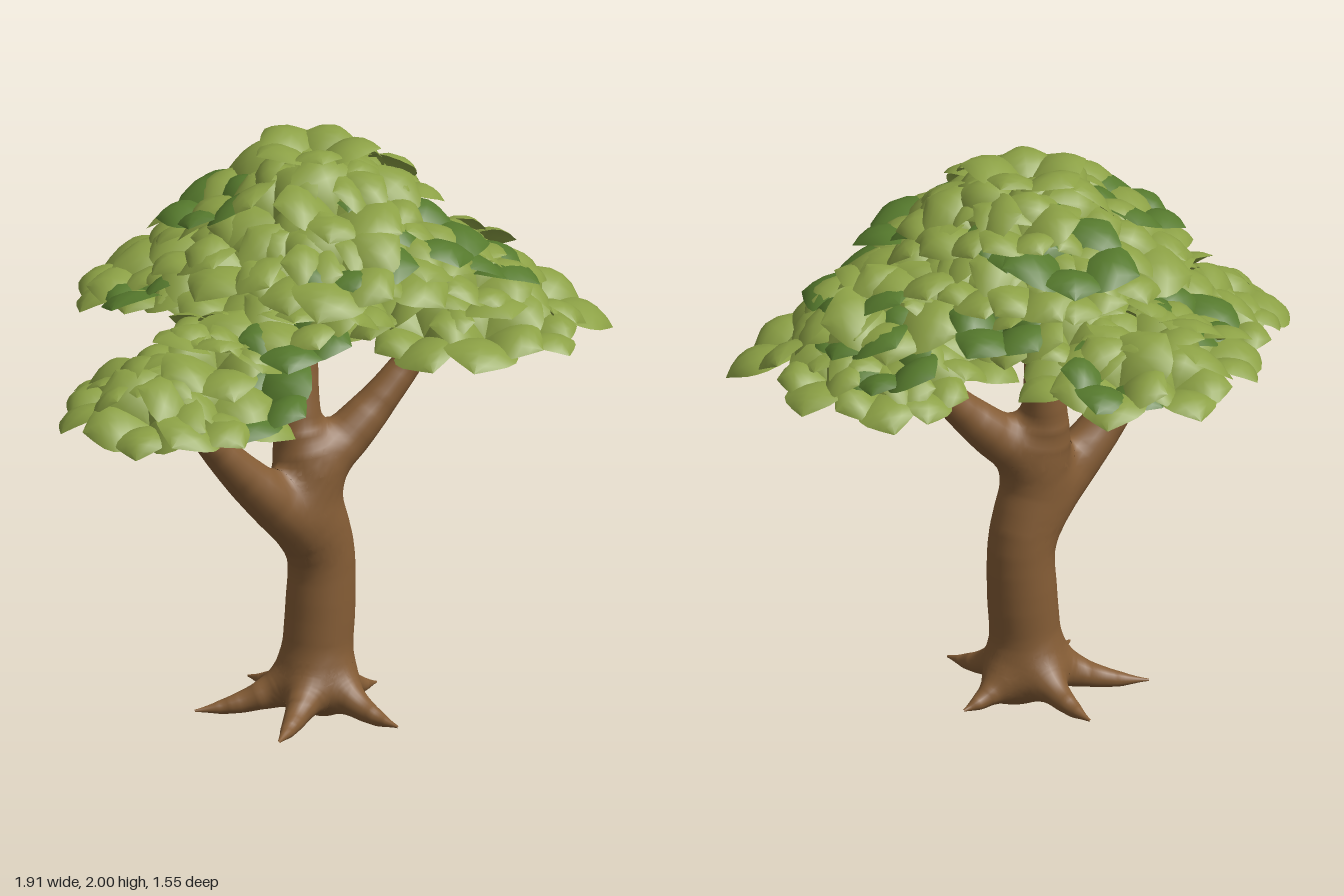
import * as THREE from 'three';
import { mergeGeometries } from 'three/addons/utils/BufferGeometryUtils.js';

// Seeded random numbers
let seed = 7;
function rnd(a = 0, b = 1) {
  seed = (seed * 16807) % 2147483647;
  return a + (b - a) * (seed / 2147483647);
}

// A limb is a smooth curve through points [x, y, z, radius]
function makeLimb(name, points) {
  const path = new THREE.CatmullRomCurve3(points.map(p => new THREE.Vector3(p[0], p[1], p[2])));
  const radii = new THREE.SplineCurve(points.map((p, i) => new THREE.Vector2(i, p[3])));
  const at = u => ({
    p: path.getPointAt(u),
    r: Math.max(radii.getPoint(path.getUtoTmapping(u)).y, 0.003),
  });
  const samples = Array.from({ length: 25 }, (_, i) => at(i / 24));
  return { name, path, at, samples };
}

// Distance to one limb, as a chain of tapered capsules
function limbDistance(limb, v) {
  let best = Infinity;
  for (let i = 1; i < limb.samples.length; i++) {
    const a = limb.samples[i - 1], b = limb.samples[i];
    const ex = b.p.x - a.p.x, ey = b.p.y - a.p.y, ez = b.p.z - a.p.z;
    const px = v.x - a.p.x, py = v.y - a.p.y, pz = v.z - a.p.z;
    const h = THREE.MathUtils.clamp((px * ex + py * ey + pz * ez) / (ex * ex + ey * ey + ez * ez), 0, 1);
    const d = Math.hypot(px - h * ex, py - h * ey, pz - h * ez) - a.r - (b.r - a.r) * h;
    best = Math.min(best, d);
  }
  return best;
}

// Smooth blend of all limbs
function woodDistance(limbs, v) {
  const k = 0.07;
  return limbs.reduce((d, limb) => {
    const e = limbDistance(limb, v);
    const h = Math.max(k - Math.abs(d - e), 0);
    return Math.min(d, e) - h * h / (4 * k);
  }, 10);
}

// Move every vertex onto the blended wood surface, with matching normals
function settle(geo, limbs) {
  const pos = geo.attributes.position, normal = geo.attributes.normal;
  const v = new THREE.Vector3(), n = new THREE.Vector3(), q = new THREE.Vector3(), e = 0.002;
  const measure = () => {
    const d = woodDistance(limbs, v);
    n.set(
      woodDistance(limbs, q.set(v.x + e, v.y, v.z)) - d,
      woodDistance(limbs, q.set(v.x, v.y + e, v.z)) - d,
      woodDistance(limbs, q.set(v.x, v.y, v.z + e)) - d,
    ).normalize();
    return d;
  };
  for (let i = 0; i < pos.count; i++) {
    v.fromBufferAttribute(pos, i);
    for (let step = 0; step < 5; step++) v.addScaledVector(n, -measure());
    measure();
    pos.setXYZ(i, v.x, Math.max(v.y, 0), v.z);
    normal.setXYZ(i, n.x, n.y, n.z);
  }
  return geo;
}

// Round tube following a limb
function tube(limb, segs, sides) {
  const geo = new THREE.TubeGeometry(limb.path, segs, 1, sides);
  const pos = geo.attributes.position, v = new THREE.Vector3();
  for (let k = 0; k < pos.count; k++) {
    const { p, r } = limb.at(Math.floor(k / (sides + 1)) / segs);
    v.fromBufferAttribute(pos, k).sub(p).multiplyScalar(r).add(p);
    pos.setXYZ(k, v.x, v.y, v.z);
  }
  return geo;
}

// Unit tuft: five broad cupped leaves rising from the centre, arching over to a point
function makeTuft() {
  const outline = [0.1, 0.31, 0.44, 0.51, 0.5, 0.41, 0.23, 0];
  const rows = outline.length - 1;
  const leaf = new THREE.PlaneGeometry(2, 1, 4, rows);
  leaf.rotateX(-Math.PI / 2);
  const pos = leaf.attributes.position;
  for (let i = 0; i < pos.count; i++) {
    const t = pos.getZ(i) + 0.5, s = pos.getX(i);
    const w = outline[Math.round(t * rows)];
    pos.setXYZ(i, s * w, 1.32 * t - 1.02 * t * t - 0.34 * s * s * w, t);
  }
  leaf.computeVertexNormals();
  const reach = [1, 0.86, 1.08, 0.92, 1.03];
  return mergeGeometries(reach.map((f, i) =>
    leaf.clone().scale(f, 0.9 + 0.025 * i, f).rotateY(i * Math.PI * 0.4)));
}

export function createModel() {
  seed = 7;
  const tree = new THREE.Group();
  tree.name = 'tree';
  const bark = new THREE.MeshStandardMaterial({ name: 'bark brown', color: 0x845c35 });
  const light = new THREE.MeshStandardMaterial({ name: 'light leaf green', color: 0x8ca145, side: THREE.DoubleSide });
  const dark = new THREE.MeshStandardMaterial({ name: 'dark leaf green', color: 0x567a2d, side: THREE.DoubleSide });
  const add = (name, geo, mat) => {
    const mesh = new THREE.Mesh(geo, mat);
    mesh.name = name;
    tree.add(mesh);
  };

  // Trunk with its central stem, and two side branches
  const limbs = [
    makeLimb('trunk', [
      [0.045, 0.11, 0.15, 0.105], [0.02, 0.2, 0.15, 0.115], [0.032, 0.4, 0.15, 0.116],
      [0.035, 0.6, 0.15, 0.109], [-0.015, 0.78, 0.145, 0.108], [-0.03, 0.92, 0.13, 0.1],
      [-0.03, 1.05, 0.11, 0.077], [-0.01, 1.2, 0.1, 0.058], [0.03, 1.4, 0.09, 0.036], [0.08, 1.63, 0.08, 0.006],
    ]),
    makeLimb('rightBranch', [
      [0.02, 0.58, 0.15, 0.06], [-0.06, 0.69, 0.15, 0.088], [-0.18, 0.81, 0.14, 0.085],
      [-0.31, 0.94, 0.12, 0.068], [-0.48, 1.13, 0.1, 0.042], [-0.62, 1.27, 0.09, 0.006],
    ]),
    makeLimb('leftBranch', [
      [-0.03, 0.8, 0.145, 0.06], [0.03, 0.9, 0.16, 0.085], [0.13, 0.99, 0.19, 0.078],
      [0.24, 1.1, 0.225, 0.06], [0.38, 1.26, 0.265, 0.042], [0.48, 1.39, 0.29, 0.006],
    ]),
  ];
  // Roots spreading from the foot, given by their tips
  for (const [x, z] of [[0.3, 0.13], [0.06, 0.5], [-0.33, 0.34], [-0.33, -0.07], [0.03, -0.2]]) {
    const at = (f, y, r) => [0.02 + (x - 0.02) * f, y, 0.15 + (z - 0.15) * f, r];
    limbs.push(makeLimb('root', [
      at(0.12, 0.2, 0.05), at(0.28, 0.125, 0.063), at(0.5, 0.085, 0.044), at(0.75, 0.06, 0.026), at(1, 0.05, 0.004),
    ]));
  }
  for (const limb of limbs) {
    const [segs, sides] = limb.name === 'trunk' ? [70, 28] : [30, 18];
    add(limb.name, settle(tube(limb, segs, sides), limbs), bark);
  }
  add('trunkFoot', settle(new THREE.SphereGeometry(0.1, 28, 16).translate(0.045, 0.11, 0.15), limbs), bark);

  // One tuft placed at x, y, z, leaning outward along angle a
  const tuft = makeTuft();
  const placeTuft = (x, y, z, a, lean, size) => {
    const axis = new THREE.Vector3(Math.sin(a), 0, -Math.cos(a));
    const turn = new THREE.Quaternion().setFromAxisAngle(axis, lean);
    turn.multiply(new THREE.Quaternion().setFromAxisAngle(new THREE.Vector3(0, 1, 0), rnd(0, 6.28)));
    return tuft.clone().applyMatrix4(new THREE.Matrix4().compose(
      new THREE.Vector3(x, y, z), turn, new THREE.Vector3(size, size, size)));
  };

  // Domed leaf tiers: name, centre x, z, radius x, z, rim height, top height
  const tiers = [
    ['rightLowerTier', -0.6, 0.1, 0.37, 0.4, 1.17, 1.36],
    ['rightUpperTier', -0.41, 0.12, 0.3, 0.3, 1.31, 1.48],
    ['leftLowerTier', 0.51, 0.31, 0.46, 0.46, 1.28, 1.49],
    ['leftUpperTier', 0.44, 0.3, 0.33, 0.35, 1.44, 1.62],
    ['frontTier', -0.12, 0.27, 0.27, 0.27, 1.4, 1.55],
    ['backLowerTier', -0.02, -0.39, 0.41, 0.39, 1.33, 1.54],
    ['backUpperTier', 0.04, -0.14, 0.44, 0.33, 1.43, 1.6],
    ['crownLowerTier', 0.03, 0.12, 0.54, 0.57, 1.59, 1.79],
    ['crownMiddleTier', 0.08, 0.09, 0.43, 0.41, 1.74, 1.92],
  ];
  for (const [name, cx, cz, rx, rz, low, high] of tiers) {
    const tufts = [placeTuft(cx, high - 0.09, cz, 0, 0, 0.21)];
    const rim = (rx + rz) / 2 - 0.19;
    for (let r = rim; r > 0.06; r -= 0.16) {
      const q = r / rim, n = Math.max(3, Math.round(2 * Math.PI * r / 0.18)), start = rnd(0, 6);
      for (let i = 0; i < n; i++) {
        const a = start + (i + rnd(-0.15, 0.15)) / n * Math.PI * 2;
        const y = THREE.MathUtils.lerp(high - 0.1, low + 0.06, q * q) + rnd(-0.025, 0.025);
        const x = cx + Math.cos(a) * (rx - 0.19) * q, z = cz + Math.sin(a) * (rz - 0.19) * q;
        tufts.push(placeTuft(x, y, z, a, 0.5 * q + rnd(-0.15, 0.15), rnd(0.175, 0.235)));
      }
    }
    add(name, mergeGeometries(tufts), light);
  }
  add('crownTuft', placeTuft(0.08, 1.912, 0.06, 0, 0, 0.212), light);

  // Larger dark tufts among the light ones: x, y, z, size
  const darkTufts = [
    [-0.22, 1.76, -0.08, 0.2], [0.14, 1.72, -0.22, 0.23], [0.24, 1.67, 0.38, 0.25], [0.5, 1.51, 0.36, 0.25],
    [-0.1, 1.67, 0.42, 0.22], [0.12, 1.79, 0.22, 0.2], [-0.42, 1.23, 0.34, 0.22], [0.17, 1.39, -0.48, 0.2],
    [-0.28, 1.42, -0.33, 0.2], [0.34, 1.52, -0.12, 0.2], [0.64, 1.38, 0.08, 0.19], [-0.24, 1.42, 0.32, 0.21],
    [0.62, 1.44, 0.24, 0.2], [0.22, 1.78, -0.06, 0.18],
  ];
  add('darkTufts', mergeGeometries(darkTufts.map(([x, y, z, size]) =>
    placeTuft(x, y, z, Math.atan2(z - 0.08, x - 0.05), 0.38, size))), dark);
  return tree;
}
